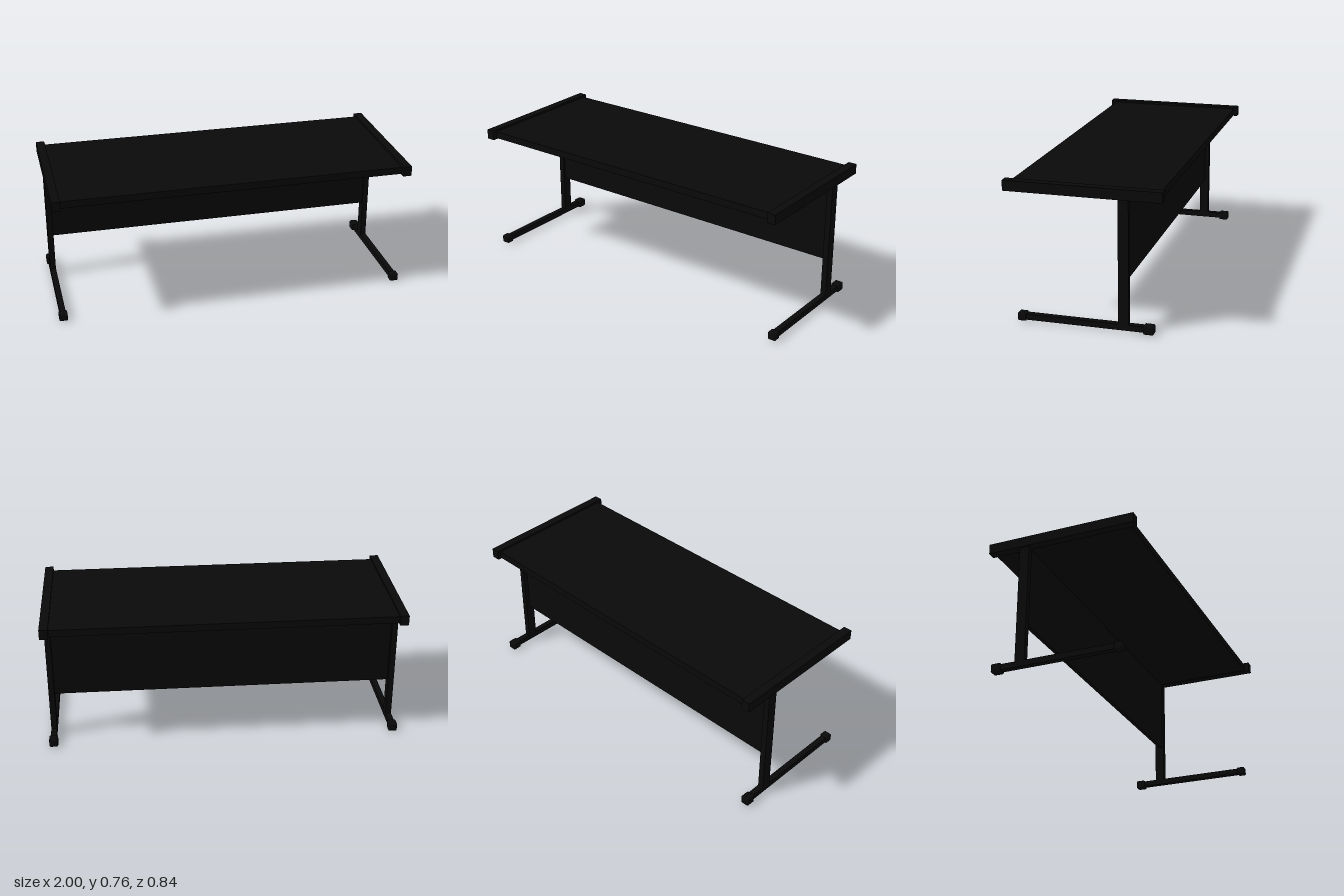
import * as THREE from 'three';
import { RoundedBoxGeometry } from 'three/addons/geometries/RoundedBoxGeometry.js';

export function createModel() {
  const group = new THREE.Group();
  const black = new THREE.MeshStandardMaterial({ color: 0x0a0a0a });
  black.name = 'black';

  // Box from its limits on each axis; a radius rounds the edges
  function block(name, [x0, x1], [y0, y1], [z0, z1], radius = 0) {
    const size = [x1 - x0, y1 - y0, z1 - z0];
    const geometry = radius
      ? new RoundedBoxGeometry(...size, 2, radius)
      : new THREE.BoxGeometry(...size);
    const mesh = new THREE.Mesh(geometry, black);
    mesh.name = name;
    mesh.position.set((x0 + x1) / 2, (y0 + y1) / 2, (z0 + z1) / 2);
    group.add(mesh);
  }

  // Desk top and the modesty panel hung between the columns
  block('deskTop', [-0.955, 0.955], [0.71, 0.75], [-0.397, 0.39]);
  block('modestyPanel', [-0.956, 0.956], [0.257, 0.712], [-0.215, -0.195]);

  for (const [side, s] of [['left', 1], ['right', -1]]) {
    const span = (a, b) => (s > 0 ? [a, b] : [-b, -a]);
    // End rail, column and foot
    block(side + 'EndRail', span(0.952, 1), [0.706, 0.762], [-0.418, 0.418]);
    block(side + 'Column', span(0.954, 0.987), [0.03, 0.712], [-0.24, -0.185]);
    block(side + 'FootBar', span(0.954, 0.987), [0.009, 0.041], [-0.34, 0.335]);
    // Rounded caps on the foot ends
    block(side + 'FrontFootCap', span(0.947, 0.994), [0.003, 0.047], [0.312, 0.357], 0.006);
    block(side + 'BackFootCap', span(0.946, 0.995), [0, 0.048], [-0.373, -0.318], 0.008);
  }
  return group;
}
